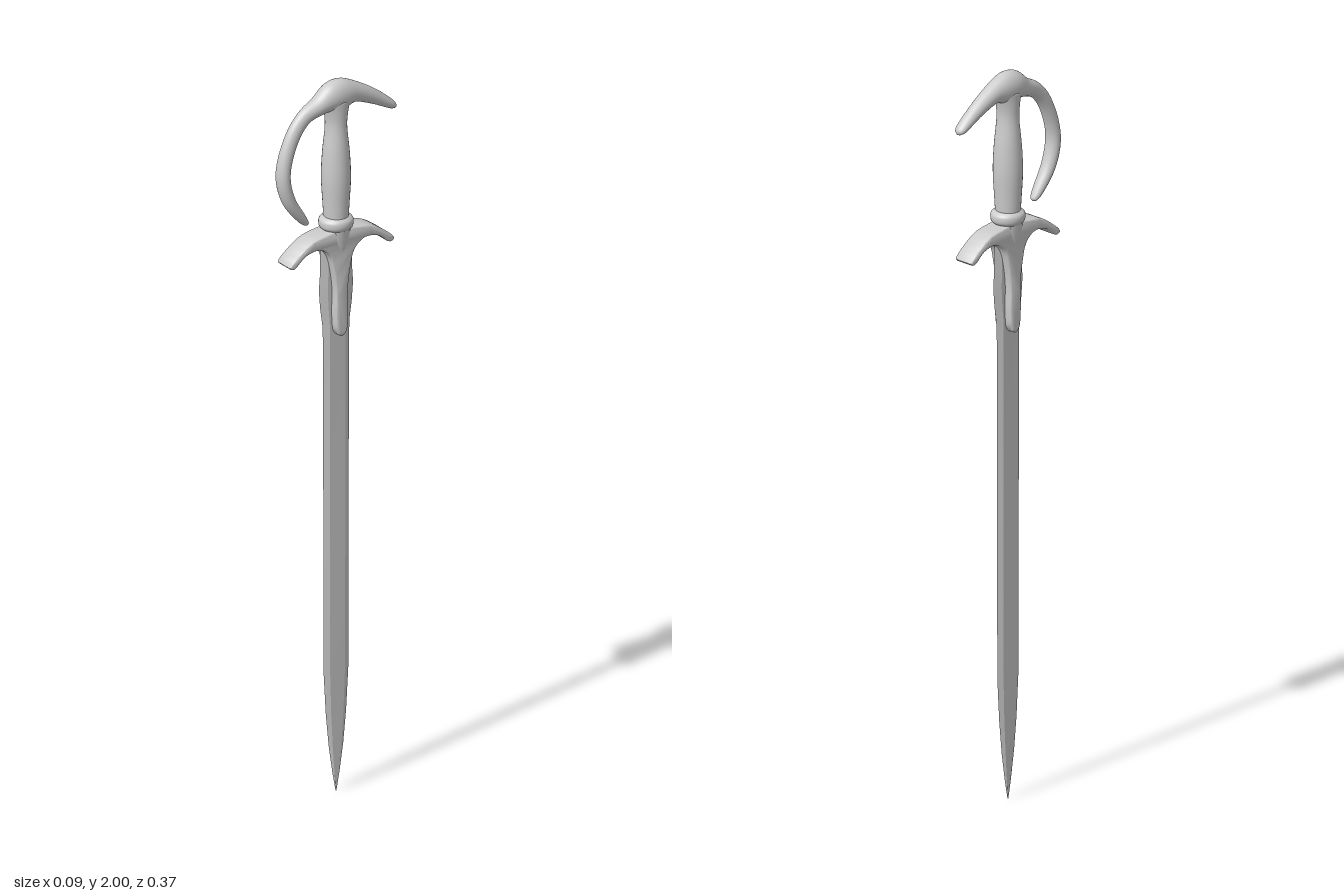
import * as THREE from 'three';
import { toCreasedNormals } from 'three/addons/utils/BufferGeometryUtils.js';

const material = new THREE.MeshStandardMaterial({ color: 0xcccccc });

const circle = Array.from({ length: 28 }, (_, j) => {
  const a = (j / 28) * Math.PI * 2;
  return [Math.cos(a), Math.sin(a)];
});
const hexagon = [[1, -0.6], [1, 0.6], [0, 1], [-1, 0.6], [-1, -0.6], [0, -1]];

// Skin a section along a path in the z-y plane.
// Each station is [z, y, half thickness in the plane, half width in x].
function loft(stations, section, steps) {
  let list = stations;
  if (steps) {
    const path = new THREE.CatmullRomCurve3(stations.map(s => new THREE.Vector3(0, s[1], s[0])), false, 'catmullrom', 0.5);
    const size = new THREE.CatmullRomCurve3(stations.map(s => new THREE.Vector3(s[2], s[3], 0)), false, 'catmullrom', 0.5);
    list = [];
    for (let i = 0; i <= steps; i++) {
      const p = path.getPoint(i / steps), q = size.getPoint(i / steps);
      list.push([p.z, p.y, q.x, q.y]);
    }
  }
  const n = section.length, last = list.length - 1, pos = [], index = [];
  list.forEach(([z, y, t, w], i) => {
    const a = list[Math.max(i - 1, 0)], b = list[Math.min(i + 1, last)];
    const len = Math.hypot(b[0] - a[0], b[1] - a[1]);
    const tz = (b[0] - a[0]) / len, ty = (b[1] - a[1]) / len;
    for (const [c, s] of section) pos.push(w * c, y + t * s * tz, z - t * s * ty);
  });
  for (let i = 0; i < last; i++) {
    for (let j = 0; j < n; j++) {
      const k = (j + 1) % n, a = i * n, b = a + n;
      index.push(a + j, a + k, b + k, a + j, b + k, b + j);
    }
  }
  // End caps
  const start = pos.length / 3;
  pos.push(0, list[0][1], list[0][0], 0, list[last][1], list[last][0]);
  for (let j = 0; j < n; j++) {
    const k = (j + 1) % n;
    index.push(start, k, j, start + 1, last * n + j, last * n + k);
  }
  const geo = new THREE.BufferGeometry();
  geo.setAttribute('position', new THREE.Float32BufferAttribute(pos, 3));
  geo.setIndex(index);
  geo.computeVertexNormals();
  return geo;
}

export function createModel() {
  const group = new THREE.Group();
  const add = (name, geo) => {
    const mesh = new THREE.Mesh(geo, material);
    mesh.name = name;
    group.add(mesh);
  };

  // Blade: flat hexagonal section, flared below the guard
  const blade = loft([
    [0, 0, 0.001, 0.001], [0, 0.05, 0.011, 0.003], [0, 0.13, 0.023, 0.005], [0, 0.22, 0.032, 0.006],
    [0, 0.34, 0.039, 0.007], [0, 0.8, 0.04, 0.008], [0, 1.27, 0.041, 0.008], [0, 1.32, 0.043, 0.009],
    [0, 1.37, 0.05, 0.009], [0, 1.42, 0.054, 0.009], [0, 1.46, 0.051, 0.009], [0, 1.5, 0.05, 0.009], [0, 1.56, 0.05, 0.009],
  ], hexagon);
  add('blade', toCreasedNormals(blade, 0.15));

  // Cross guard with drooping arms and a central tongue over the blade
  const half = [
    [0.04, 1.588], [0.09, 1.579], [0.13, 1.556], [0.165, 1.523], [0.152, 1.515], [0.115, 1.542],
    [0.07, 1.548], [0.04, 1.525], [0.027, 1.48], [0.019, 1.42], [0.02, 1.35], [0.014, 1.3],
  ];
  const outline = [[0, 1.592], ...half, [0, 1.289], ...half.map(([z, y]) => [-z, y]).reverse()];
  const curve = new THREE.CatmullRomCurve3(outline.map(([z, y]) => new THREE.Vector3(z, y, 0)), true);
  const shape = new THREE.Shape(curve.getPoints(104).slice(0, -1).map(p => new THREE.Vector2(p.x, p.y)));
  const guard = new THREE.ExtrudeGeometry(shape, {
    depth: 0.046, bevelThickness: 0.008, bevelSize: 0.007, bevelOffset: -0.007, bevelSegments: 4,
  });
  guard.translate(0, 0, -0.023).rotateY(-Math.PI / 2);
  add('crossGuard', toCreasedNormals(guard, 0.7));

  // Swelling between guard and grip
  add('guardHub', loft([
    [0, 1.5, 0.022, 0.026], [0, 1.53, 0.032, 0.031], [0, 1.56, 0.038, 0.035], [0, 1.6, 0.038, 0.04],
  ], circle, 12));

  // Collar ring
  add('collar', loft([
    [0, 1.586, 0.036, 0.037], [0, 1.594, 0.044, 0.043], [0, 1.604, 0.046, 0.045],
    [0, 1.614, 0.044, 0.043], [0, 1.622, 0.034, 0.035],
  ], circle, 16));

  // Grip, fullest at its lower third
  add('grip', loft([
    [0, 1.61, 0.031, 0.034], [0, 1.66, 0.034, 0.037], [0, 1.73, 0.038, 0.04], [0, 1.8, 0.035, 0.037],
    [0, 1.87, 0.028, 0.031], [0, 1.91, 0.031, 0.031], [0, 1.95, 0.042, 0.032],
  ], circle, 30));

  // Pommel: rear hook, cap and knuckle bow in one sweep
  add('pommelAndKnuckleBow', loft([
    [-0.183, 1.877, 0.003, 0.006], [-0.172, 1.889, 0.012, 0.017], [-0.115, 1.926, 0.02, 0.021],
    [-0.06, 1.953, 0.027, 0.026], [-0.02, 1.959, 0.041, 0.032], [0.015, 1.958, 0.041, 0.033],
    [0.055, 1.943, 0.026, 0.026], [0.1, 1.922, 0.021, 0.019], [0.135, 1.88, 0.02, 0.018],
    [0.161, 1.815, 0.019, 0.02], [0.166, 1.757, 0.018, 0.022], [0.148, 1.697, 0.017, 0.021],
    [0.113, 1.645, 0.013, 0.017], [0.096, 1.624, 0.008, 0.011], [0.092, 1.619, 0.002, 0.003],
  ], circle, 84));

  return group;
}
